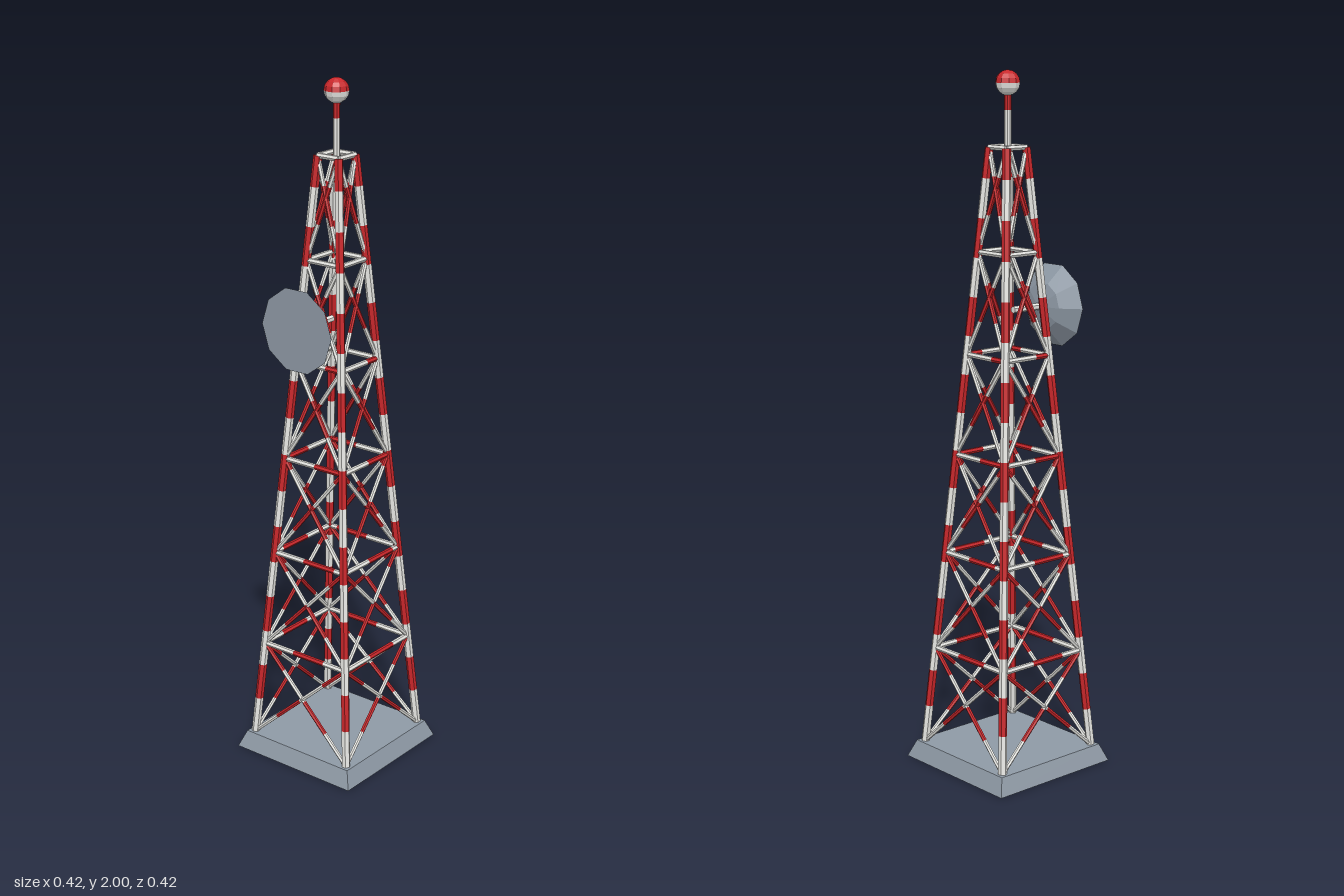
import * as THREE from 'three';

const BAND = 0.111; // length of one painted stripe
const mat = (name, color) => {
  const m = new THREE.MeshStandardMaterial({ color, flatShading: true });
  m.name = name;
  return m;
};

export function createModel() {
  const white = mat('white paint', 0xe8e8e4);
  const red = mat('red paint', 0xc8262a);
  const grey = mat('grey', 0x8f9aa6);
  const root = new THREE.Group();
  root.name = 'latticeTower';
  const UP = new THREE.Vector3(0, 1, 0);

  const add = (parent, name, geometry, material) => {
    const m = new THREE.Mesh(geometry, material);
    m.name = name;
    parent.add(m);
    return m;
  };

  // Straight bar from a to b, painted in white and red stripes from its start
  function stripedBar(parent, name, a, b, radius, sides = 6) {
    const g = new THREE.Group();
    g.name = name;
    const dir = b.clone().sub(a), len = dir.length();
    dir.normalize();
    for (let s = 0, i = 0; s < len - 1e-4; s += BAND, i++) {
      const l = Math.min(BAND, len - s);
      const geo = new THREE.CylinderGeometry(radius, radius, l, sides);
      const m = add(g, i % 2 ? 'redStripe' : 'whiteStripe', geo, i % 2 ? red : white);
      m.position.copy(a).addScaledVector(dir, s + l / 2);
      m.quaternion.setFromUnitVectors(UP, dir);
    }
    parent.add(g);
  }

  // Footing: tapered square slab
  const slab = new THREE.CylinderGeometry(0.19 * Math.SQRT2, 0.21 * Math.SQRT2, 0.05, 4);
  slab.rotateY(Math.PI / 4);
  add(root, 'base', slab, grey).position.y = 0.025;

  // Tower: four identical faces, each with one leg, ring bars and crossed braces
  const Y0 = 0.05, Y1 = 1.79, TIERS = 6;
  const half = (y) => THREE.MathUtils.lerp(0.172, 0.036, (y - Y0) / (Y1 - Y0));
  const corner = (side, y) => new THREE.Vector3(side * half(y), y, half(y));
  for (let f = 0; f < 4; f++) {
    const face = new THREE.Group();
    face.name = 'towerFace';
    face.rotation.y = f * Math.PI / 2;
    stripedBar(face, 'leg', corner(-1, Y0), corner(-1, Y1), 0.0125);
    for (let t = 0; t < TIERS; t++) {
      const lo = Y0 + (Y1 - Y0) * t / TIERS, hi = Y0 + (Y1 - Y0) * (t + 1) / TIERS;
      stripedBar(face, 'ringBar', corner(-1, hi), corner(1, hi), 0.008);
      stripedBar(face, 'diagonalBrace', corner(-1, lo), corner(1, hi), 0.0065);
      stripedBar(face, 'diagonalBrace', corner(1, lo), corner(-1, hi), 0.0065);
    }
    root.add(face);
  }

  // Mast and two-coloured beacon
  stripedBar(root, 'mast', new THREE.Vector3(0, 1.78, 0), new THREE.Vector3(0, 1.95, 0), 0.01, 8);
  const R = 0.035;
  const beacon = new THREE.Group();
  beacon.name = 'beacon';
  beacon.position.y = 2 - R;
  add(beacon, 'beaconTop', new THREE.SphereGeometry(R, 10, 4, 0, Math.PI * 2, 0, Math.PI / 2), red);
  add(beacon, 'beaconBottom', new THREE.SphereGeometry(R, 10, 4, 0, Math.PI * 2, Math.PI / 2, Math.PI / 2), white);
  root.add(beacon);

  // Dish with a flat front, and its arm
  const profile = [[0, 0.115], [0.068, 0.133], [0.122, 0.175], [0, 0.175]]
    .map(([r, z]) => new THREE.Vector2(r, z));
  const dish = new THREE.LatheGeometry(profile, 10, Math.PI / 2);
  dish.rotateX(Math.PI / 2);
  add(root, 'dish', dish, grey).position.y = 1.335;
  const arm = new THREE.CylinderGeometry(0.01, 0.01, 0.1, 6);
  arm.rotateX(Math.PI / 2);
  add(root, 'dishArm', arm, white).position.set(0, 1.335, 0.07);

  return root;
}
